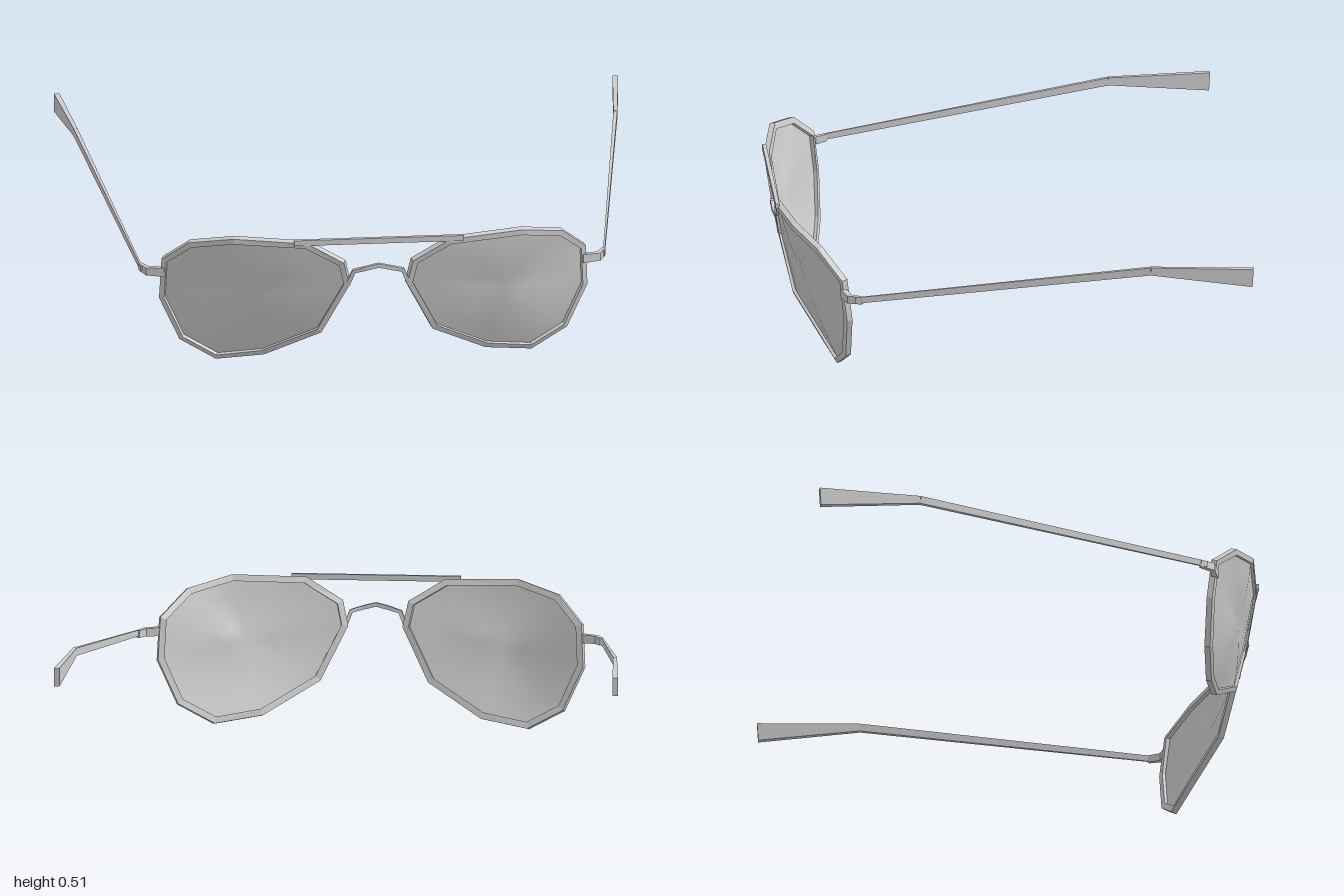
import * as THREE from 'three';

const V = (x, y, z) => new THREE.Vector3(x, y, z);
const metal = new THREE.MeshStandardMaterial({ color: 0xcccccc, flatShading: true });
const glass = new THREE.MeshStandardMaterial({ color: 0xcccccc, side: THREE.DoubleSide });

// Joins four-cornered cross-sections into a solid; faces are turned outward by signed volume
function loft(rings, closed = false) {
  const n = rings.length;
  const tris = [];
  const quad = (a, b, c, d) => tris.push([a, b, c], [a, c, d]);
  for (let i = 0; i < (closed ? n : n - 1); i++) {
    const r = rings[i], q = rings[(i + 1) % n];
    for (let k = 0; k < 4; k++) {
      const m = (k + 1) % 4;
      quad(r[k], r[m], q[m], q[k]);
    }
  }
  if (!closed) {
    const e = rings[n - 1];
    quad(rings[0][3], rings[0][2], rings[0][1], rings[0][0]);
    quad(e[0], e[1], e[2], e[3]);
  }
  const volume = tris.reduce((s, [a, b, c]) => s + a.dot(b.clone().cross(c)), 0);
  const points = tris.flatMap(([a, b, c]) => (volume < 0 ? [a, c, b] : [a, b, c]));
  const geo = new THREE.BufferGeometry().setFromPoints(points);
  geo.computeVertexNormals();
  return geo;
}

// Rectangular bar along a path; sizes give [half width, half height] at each point
function bar(path, up, sizes) {
  return loft(path.map((p, i) => {
    const t = path[Math.min(i + 1, path.length - 1)].clone().sub(path[Math.max(i - 1, 0)]).normalize();
    const side = t.clone().cross(up).normalize();
    const top = side.clone().cross(t);
    const [w, h] = sizes[i] || sizes[0];
    return [[-1, -1], [1, -1], [1, 1], [-1, 1]].map(([a, b]) =>
      p.clone().addScaledVector(side, a * w).addScaledVector(top, b * h));
  }));
}

// Outer corners of one wrapped, backward-leaning lens
const OUTLINE = [
  [0.10, 0.33, 0.785], [0.12, 0.42, 0.80], [0.25, 0.50, 0.808], [0.51, 0.512, 0.767],
  [0.66, 0.475, 0.69], [0.75, 0.385, 0.61], [0.757, 0.235, 0.592], [0.685, 0.077, 0.592],
  [0.557, 0.005, 0.612], [0.39, 0.03, 0.65], [0.195, 0.14, 0.74],
];

function rimGeometry(outline, centre, s) {
  const normal = V(0.35 * s, -0.29, 1).normalize();
  return loft(outline.map((p, i) => {
    const n = outline.length;
    // mitred inward direction within the lens surface
    const a = p.clone().sub(outline[(i + n - 1) % n]).normalize();
    const b = outline[(i + 1) % n].clone().sub(p).normalize();
    const inward = a.add(b).normalize().cross(normal).normalize();
    if (inward.dot(centre.clone().sub(p)) < 0) inward.negate();
    return [[0, 0.008], [0, -0.013], [0.024, -0.013], [0.02, 0.012]].map(([r, d]) =>
      p.clone().addScaledVector(inward, r).addScaledVector(normal, d));
  }), true);
}

// Gently domed disc made of rings shrinking to the centre
function lensGeometry(outline, centre, s) {
  const n = outline.length, rings = 4, pts = [], idx = [];
  for (let j = 0; j < rings; j++) {
    const t = 1 - j / rings;
    for (const p of outline) {
      const q = centre.clone().lerp(p, t * 0.96);
      q.z += 0.03 * (1 - t * t);
      pts.push(q);
    }
  }
  pts.push(centre.clone().add(V(0, 0, 0.03)));
  const tri = (a, b, c) => idx.push(...(s > 0 ? [a, c, b] : [a, b, c]));
  for (let j = 0; j < rings; j++) {
    for (let i = 0; i < n; i++) {
      const k = (i + 1) % n;
      if (j === rings - 1) tri(j * n + i, j * n + k, rings * n);
      else {
        tri(j * n + i, j * n + k, (j + 1) * n + k);
        tri(j * n + i, (j + 1) * n + k, (j + 1) * n + i);
      }
    }
  }
  const geo = new THREE.BufferGeometry().setFromPoints(pts);
  geo.setIndex(idx);
  geo.computeVertexNormals();
  return geo;
}

export function createModel() {
  const model = new THREE.Group();
  model.name = 'glasses';
  const add = (name, geo, material = metal) => {
    const mesh = new THREE.Mesh(geo, material);
    mesh.name = name;
    model.add(mesh);
  };
  const Y = V(0, 1, 0), Z = V(0, 0, 1);

  for (const [side, s] of [['left', 1], ['right', -1]]) {
    const outline = OUTLINE.map(([x, y, z]) => V(s * x, y, z));
    const centre = outline.reduce((c, p) => c.add(p), V(0, 0, 0)).divideScalar(outline.length);
    add(side + 'Rim', rimGeometry(outline, centre, s));
    add(side + 'Lens', lensGeometry(outline, centre, s), glass);

    // hinge turning from the rim back to the arm
    add(side + 'Hinge', bar(
      [V(s * 0.74, 0.335, 0.612), V(s * 0.80, 0.334, 0.595), V(s * 0.822, 0.335, 0.55)],
      Y, [[0.011, 0.016], [0.01, 0.014], [0.006, 0.013]]));

    // thin arm widening into a flat ear tip
    add(side + 'Arm', bar(
      [V(s * 0.82, 0.335, 0.575), V(s * 0.957, 0.467, -0.46)],
      Y, [[0.003, 0.011], [0.007, 0.014]]));
    add(side + 'EarTip', bar(
      [V(s * 0.957, 0.467, -0.46), V(s * 0.99, 0.445, -0.82)],
      Y, [[0.007, 0.014], [0.01, 0.033]]));
  }

  // straight brow bar across the top
  add('browBar', bar([V(-0.3, 0.502, 0.81), V(0.3, 0.502, 0.81)], Y, [[0.007, 0.01]]));

  // arched nose bridge
  const half = [[0.108, 0.33, 0.787], [0.087, 0.383, 0.795], [0.045, 0.395, 0.803]];
  add('noseBridge', bar([
    ...half.map(([x, y, z]) => V(-x, y, z)),
    V(0, 0.406, 0.805),
    ...half.map(([x, y, z]) => V(x, y, z)).reverse(),
  ], Z, [[0.007, 0.007], [0.007, 0.007], [0.007, 0.007], [0.007, 0.007],
    [0.007, 0.007], [0.007, 0.007], [0.007, 0.007]]));

  return model;
}
